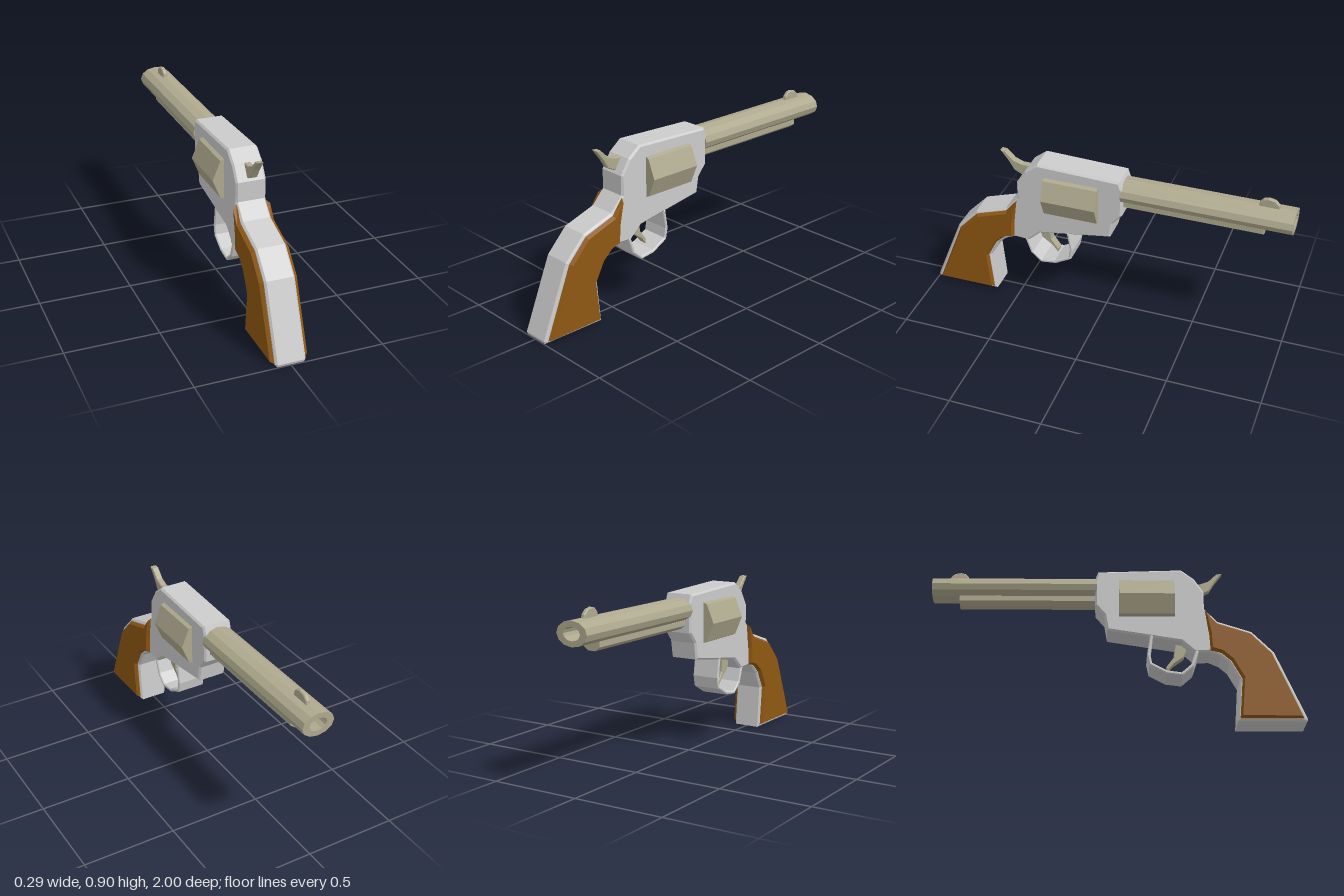
import * as THREE from 'three';

const paint = (color) => new THREE.MeshStandardMaterial({ color, flatShading: true });

// Side profile given as [z, y] points, extruded across x and centred, with chamfered rims
function plate(name, points, halfWidth, material, bevel = 0, inset = bevel) {
  const shape = new THREE.Shape(points.map(([z, y]) => new THREE.Vector2(-z, y)));
  const depth = 2 * (halfWidth - bevel);
  const geo = new THREE.ExtrudeGeometry(shape, {
    depth, bevelEnabled: bevel > 0, bevelThickness: bevel,
    bevelSize: inset, bevelOffset: -inset, bevelSegments: 1,
  });
  geo.translate(0, 0, -depth / 2);
  geo.rotateY(Math.PI / 2);
  const mesh = new THREE.Mesh(geo, material);
  mesh.name = name;
  return mesh;
}

// Faceted tube along -z from [radius, distance] points, flattened to an ellipse
function turned(name, profile, sides, rx, ry, y, z, material, phase = 0) {
  const geo = new THREE.LatheGeometry(profile.map(([r, d]) => new THREE.Vector2(r, d)), sides, phase);
  geo.rotateX(-Math.PI / 2);
  geo.scale(rx, ry, 1);
  geo.translate(0, y, z);
  const mesh = new THREE.Mesh(geo, material);
  mesh.name = name;
  return mesh;
}

const rod = (length) => [[0, 0], [1, 0], [1, length], [0, length]];

export function createModel() {
  const group = new THREE.Group();
  group.name = 'revolver';
  const grey = paint(0xcccccc);
  const steel = paint(0xaea98e);
  const wood = paint(0x8f5812);

  // Frame and grip core share one outline
  group.add(plate('frame', [
    [0.36, 0.89], [0.43, 0.835], [0.48, 0.755], [0.48, 0.65], [0.55, 0.575],
    [0.73, 0.515], [0.845, 0.395], [1, 0.015], [0.995, 0], [0.635, 0],
    [0.655, 0.235], [0.605, 0.33], [0.56, 0.37], [0.505, 0.395], [0.425, 0.39],
    [0.355, 0.455], [-0.045, 0.52], [-0.06, 0.61], [-0.11, 0.67],
    [-0.11, 0.83], [-0.095, 0.875],
  ], 0.081, grey, 0.01));

  // Wooden grip, showing as a raised panel on both sides
  group.add(plate('gripPanels', [
    [0.482, 0.64], [0.548, 0.563], [0.725, 0.503], [0.833, 0.388], [0.983, 0.012],
    [0.646, 0.012], [0.667, 0.237], [0.614, 0.338], [0.565, 0.382], [0.505, 0.402],
    [0.5, 0.5],
  ], 0.1, wood, 0.022, 0.014));

  // Octagonal cylinder
  group.add(turned('cylinder', rod(0.3), 8, 0.143, 0.143, 0.71, 0.32, steel));

  // Barrel with hollow muzzle, and ejector rod below
  group.add(turned('barrel', [
    [0, 0], [1, 0], [1, 0.9], [0.55, 0.9], [0.55, 0.6], [0, 0.6],
  ], 12, 0.09, 0.063, 0.793, -0.1, steel));
  group.add(turned('ejectorRod', rod(0.75), 8, 0.052, 0.038, 0.725, -0.1, steel, Math.PI / 8));

  // Front sight
  group.add(plate('frontSight', [
    [-0.805, 0.84], [-0.812, 0.875], [-0.83, 0.895], [-0.855, 0.902],
    [-0.89, 0.895], [-0.912, 0.873], [-0.92, 0.84],
  ], 0.012, steel, 0.005));

  // Hammer
  group.add(plate('hammer', [
    [0.59, 0.9], [0.562, 0.898], [0.515, 0.852], [0.47, 0.835], [0.41, 0.835],
    [0.42, 0.765], [0.47, 0.768], [0.515, 0.79], [0.545, 0.84],
  ], 0.018, steel, 0.004));

  // Trigger
  group.add(plate('trigger', [
    [0.385, 0.46], [0.38, 0.42], [0.365, 0.385], [0.31, 0.345], [0.277, 0.305],
    [0.272, 0.33], [0.312, 0.385], [0.322, 0.47],
  ], 0.022, steel, 0.004));

  // Trigger guard: a wide thin band
  group.add(plate('triggerGuard', [
    [0.445, 0.4], [0.415, 0.31], [0.355, 0.257], [0.27, 0.268], [0.18, 0.318],
    [0.168, 0.38], [0.185, 0.49], [0.202, 0.49], [0.185, 0.382], [0.194, 0.33],
    [0.275, 0.286], [0.35, 0.275], [0.4, 0.32], [0.427, 0.4],
  ], 0.08, grey, 0.005));

  return group;
}
